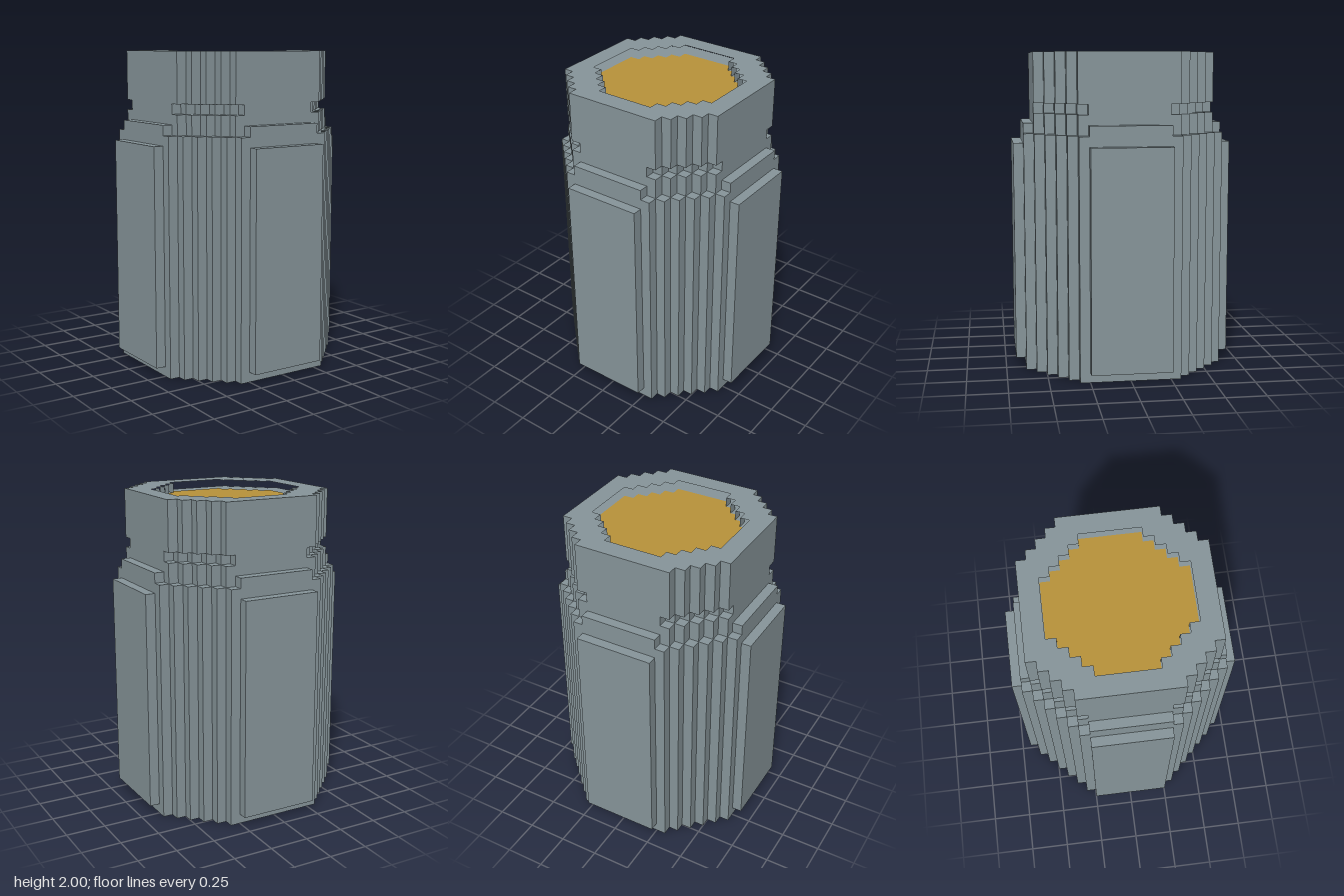
import * as THREE from 'three';

const U = 1 / 16; // one block

// Outline stepped diagonally from corner (a, b) to corner (b, a), repeated in four quadrants
function steppedPoints(a, b) {
  const quadrant = [];
  for (let x = a, y = b; x <= b; x++, y--) {
    quadrant.push([x, y]);
    if (x < b) quadrant.push([x, y - 1]);
  }
  const points = [];
  for (let q = 0; q < 4; q++) {
    for (const p of quadrant) {
      points.push(new THREE.Vector2(p[0] * U, p[1] * U));
      [p[0], p[1]] = [p[1], -p[0]];
    }
  }
  return points;
}

export function createModel() {
  const model = new THREE.Group();
  const steel = new THREE.MeshStandardMaterial({ color: 0x87959a });
  steel.name = 'greySteel';
  const gold = new THREE.MeshStandardMaterial({ color: 0xb8923a });
  gold.name = 'goldFill';

  // Upright stepped prism between heights y0 and y1, optionally hollow
  function layer(name, a, b, y0, y1, material = steel, hole = null) {
    const shape = new THREE.Shape(steppedPoints(a, b));
    if (hole) shape.holes.push(new THREE.Path(steppedPoints(...hole)));
    const geometry = new THREE.ExtrudeGeometry(shape, { depth: (y1 - y0) * U, bevelEnabled: false });
    geometry.rotateX(-Math.PI / 2);
    geometry.translate(0, y0 * U, 0);
    const mesh = new THREE.Mesh(geometry, material);
    mesh.name = name;
    model.add(mesh);
  }

  // Body, shoulder, neck with its corner groove, and head
  layer('body', 5, 10, 0, 24);
  layer('shoulder', 4, 10, 24, 25);
  layer('neck', 5, 9, 25, 26);
  layer('neckGroove', 4, 9, 26, 27);
  layer('head', 5, 9, 27, 31);
  layer('rim', 5, 9, 31, 32, steel, [3, 7]);
  layer('fill', 3, 7, 31, 31.05, gold);

  // Raised panels on the four sides
  const panel = new THREE.BoxGeometry(8 * U, 22 * U, U);
  panel.translate(0, 12 * U, 10.5 * U);
  ['front', 'left', 'back', 'right'].forEach((side, i) => {
    const mesh = new THREE.Mesh(panel, steel);
    mesh.name = side + 'Panel';
    mesh.rotation.y = i * Math.PI / 2;
    model.add(mesh);
  });

  return model;
}
